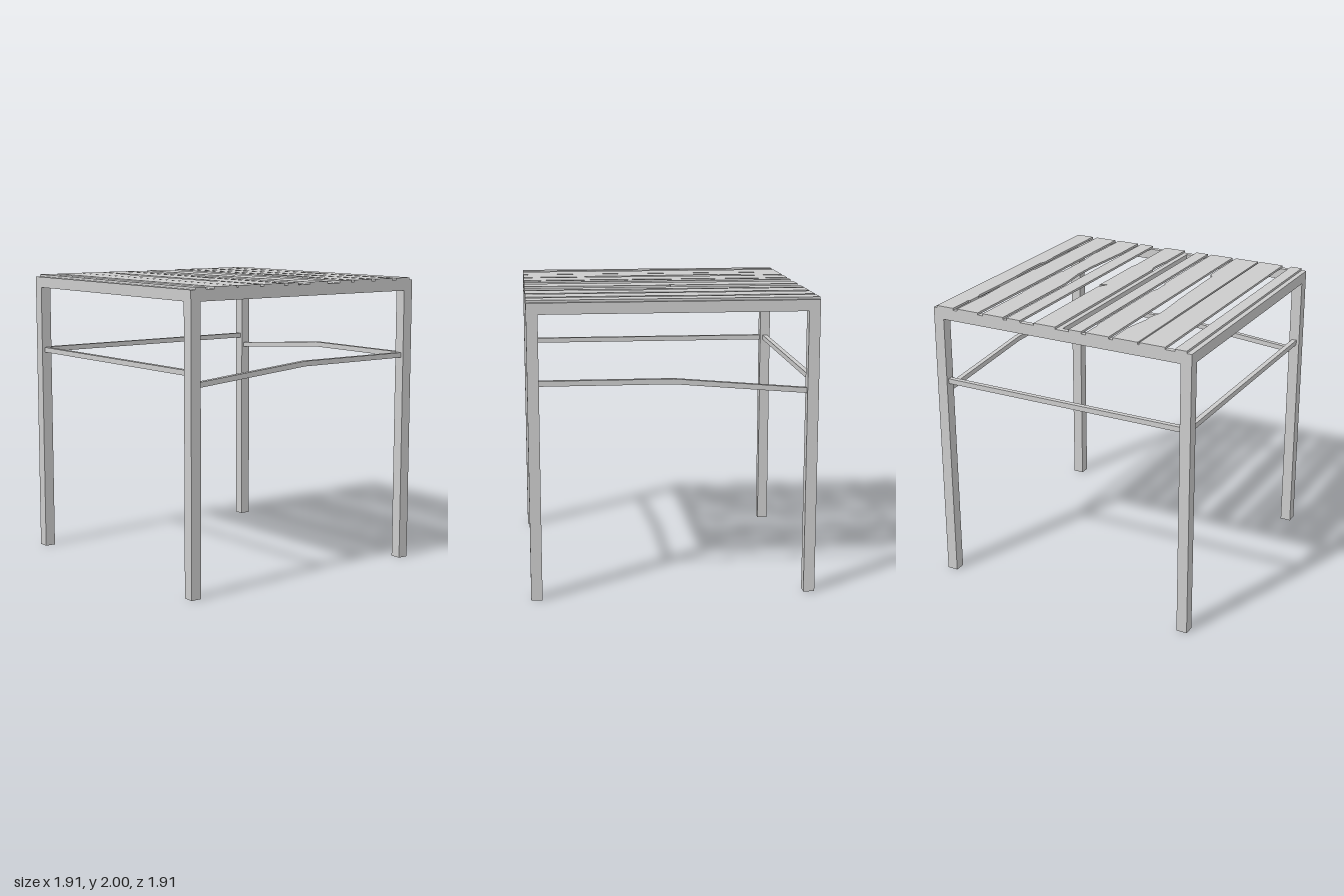
import * as THREE from 'three';

const E = 0.955;            // outer half width
const LEG = 0.075;          // leg section and frame height
const THIN = 0.0375;        // frame thickness
const FRAME_Y = 1.91, SLAT_Y = 1.985;

const material = new THREE.MeshStandardMaterial({ color: 0xcccccc, flatShading: true });

export function createModel() {
  const table = new THREE.Group();
  table.name = 'slattedTable';

  const add = (name, geometry, parent = table) => {
    const mesh = new THREE.Mesh(geometry, material);
    mesh.name = name;
    parent.add(mesh);
    return mesh;
  };
  // Box given by its two opposite corners
  const box = (name, x0, x1, y0, y1, z0, z1) =>
    add(name, new THREE.BoxGeometry(x1 - x0, y1 - y0, z1 - z0))
      .position.set((x0 + x1) / 2, (y0 + y1) / 2, (z0 + z1) / 2);

  // Square legs
  const c = E - LEG / 2;
  for (const sx of [-1, 1]) for (const sz of [-1, 1]) {
    const leg = add('leg', new THREE.BoxGeometry(LEG, FRAME_Y, LEG));
    leg.position.set(sx * c, FRAME_Y / 2, sz * c);
  }

  // Top frame and central bearer
  const inner = E - THIN;
  box('frontRail', -E, E, FRAME_Y, SLAT_Y, inner, E);
  box('backRail', -E, E, FRAME_Y, SLAT_Y, -E, -inner);
  box('leftRail', inner, E, FRAME_Y, SLAT_Y, -inner, inner);
  box('rightRail', -E, -inner, FRAME_Y, SLAT_Y, -inner, inner);
  box('centreBearer', -0.02, 0.017, FRAME_Y, SLAT_Y, -inner, inner);

  // Stretchers between the legs; two of them sag towards one end
  const stretcher = (name, drop) => {
    const h = E - LEG, lo = 1.44, hi = 1.475;
    const shape = new THREE.Shape([
      [-h, lo - drop], [0, lo], [h, lo], [h, hi], [0, hi], [-h, hi - drop],
    ].map(([x, y]) => new THREE.Vector2(x, y)));
    const geometry = new THREE.ExtrudeGeometry(shape, { depth: 0.035, bevelEnabled: false });
    geometry.translate(0, 0, -0.0175);
    return add(name, geometry);
  };
  stretcher('frontStretcher', 0.075).position.z = c;
  stretcher('backStretcher', 0).position.z = -c;
  const left = stretcher('leftStretcher', 0.075);
  left.rotation.y = -Math.PI / 2;   // sagging end towards the back
  left.position.x = c;
  const right = stretcher('rightStretcher', 0);
  right.rotation.y = -Math.PI / 2;
  right.position.x = -c;

  // Slats: each long edge is straight (a number) or worn ([x, z] points, back to front)
  const slats = [
    [-0.92, -0.838],
    [-0.772, -0.592],
    [-0.58, [[-0.402, -E], [-0.402, -0.74], [-0.435, -0.56], [-0.435, -0.48], [-0.457, -0.4],
      [-0.457, -0.33], [-0.441, -0.07], [-0.427, 0.48], [-0.402, 0.51], [-0.402, E]]],
    [-0.375, [[-0.21, -E], [-0.21, -0.81], [-0.2, -0.79], [-0.2, -0.02], [-0.215, 0.05],
      [-0.215, 0.16], [-0.203, 0.18], [-0.203, E]]],
    [-0.175, -0.083],
    [[[0.015, -E], [0.015, 0.43], [0.03, 0.46], [0.03, 0.53], [0.018, 0.65], [0.015, E]],
      [[0.176, -E], [0.176, -0.1], [0.137, -0.035], [0.184, -0.06], [0.184, 0.41],
        [0.174, 0.49], [0.174, E]]],
    [0.28, 0.382],
    [[[0.41, -E], [0.41, -0.15], [0.437, 0.08], [0.437, 0.28], [0.41, 0.67], [0.41, E]],
      [[0.568, -E], [0.568, -0.46], [0.576, -0.44], [0.576, 0.07], [0.566, 0.09],
        [0.566, 0.41], [0.581, 0.57], [0.574, 0.67], [0.574, E]]],
    [0.605, [[0.768, -E], [0.763, -0.59], [0.775, -0.38], [0.775, 0.03], [0.766, 0.05], [0.766, E]]],
    [[[0.801, -E], [0.801, -0.77], [0.79, -0.76], [0.79, -0.66], [0.8, -0.64], [0.8, -0.18],
      [0.81, -0.02], [0.81, 0.18], [0.795, 0.22], [0.795, 0.33], [0.803, 0.35], [0.803, E]], 0.93],
  ];
  const edge = (e) => (Array.isArray(e) ? e : [[e, -E], [e, E]]);
  const top = new THREE.Group();
  top.name = 'tableTop';
  table.add(top);
  for (const [a, b] of slats) {
    const outline = [...edge(a), ...edge(b).slice().reverse()];
    const shape = new THREE.Shape(outline.map(([x, z]) => new THREE.Vector2(x, -z)));
    const geometry = new THREE.ExtrudeGeometry(shape, { depth: 2 - SLAT_Y, bevelEnabled: false });
    geometry.rotateX(-Math.PI / 2);
    geometry.translate(0, SLAT_Y, 0);
    add('slat', geometry, top);
  }

  return table;
}
